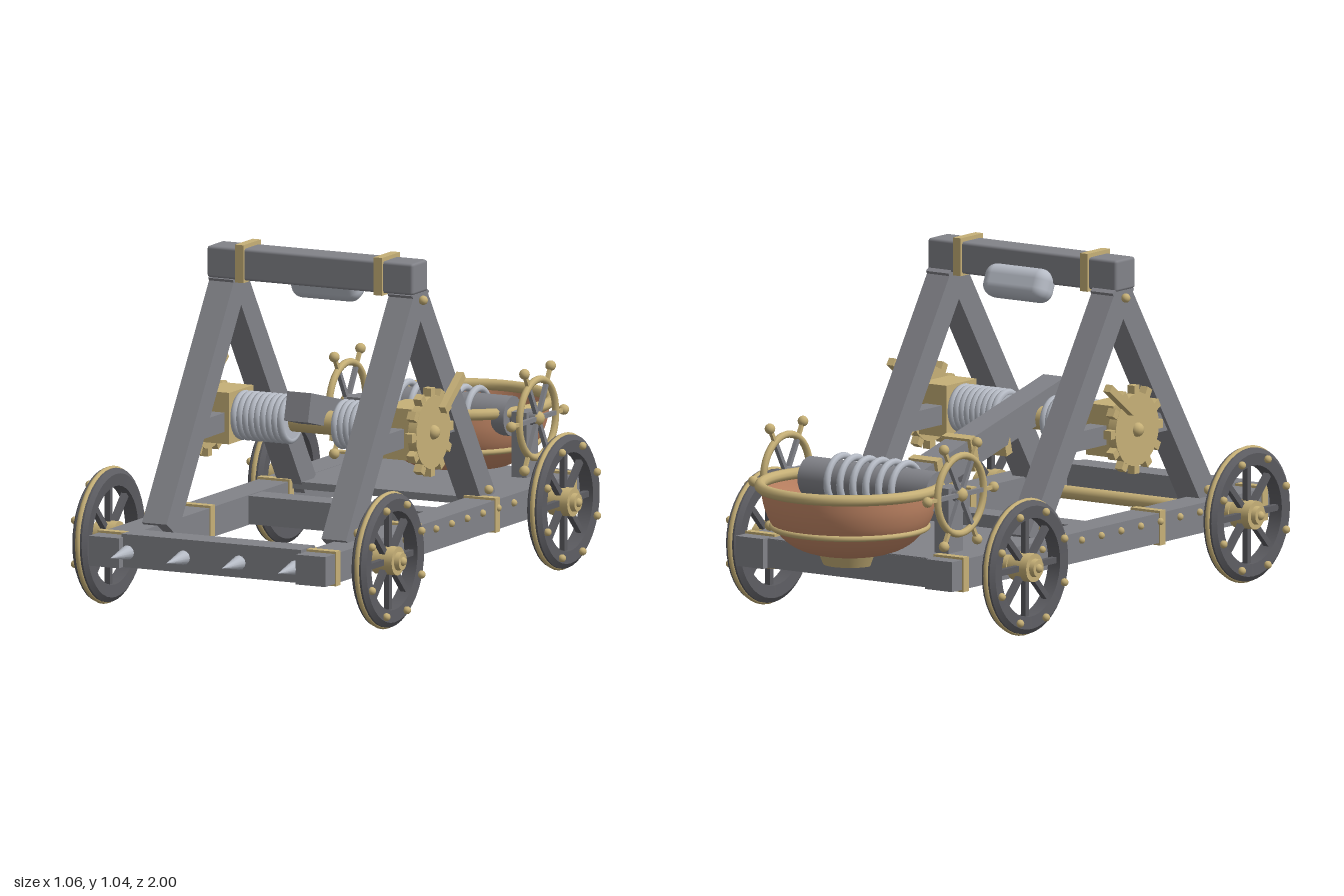
import * as THREE from 'three';
import { RoundedBoxGeometry } from 'three/addons/geometries/RoundedBoxGeometry.js';

const mat = (name, color, side = THREE.FrontSide) => {
  const m = new THREE.MeshStandardMaterial({ color, side });
  m.name = name;
  return m;
};

export function createModel() {
  const root = new THREE.Group();
  root.name = 'catapult';
  const grey = mat('grey timber', 0x828389), dark = mat('dark wheel', 0x5c5c61);
  const brass = mat('brass', 0xc6b077), steel = mat('pale steel', 0xb6bbc5);
  const copper = mat('copper', 0xc78a68, THREE.DoubleSide);

  // Helpers
  const add = (parent, name, geo, m, x = 0, y = 0, z = 0) => {
    const o = new THREE.Mesh(geo, m);
    o.name = name;
    o.position.set(x, y, z);
    parent.add(o);
    return o;
  };
  const box = (p, name, m, w, h, d, x, y, z) => add(p, name, new THREE.BoxGeometry(w, h, d), m, x, y, z);
  const ball = (p, name, m, r, x, y, z) => add(p, name, new THREE.SphereGeometry(r, 12, 8), m, x, y, z);
  const rod = (p, name, m, r, len, x, y, z) => {
    const o = add(p, name, new THREE.CylinderGeometry(r, r, len, 24), m, x, y, z);
    o.rotation.z = Math.PI / 2;
    return o;
  };
  const ring = (p, name, m, R, r, x, y, z) => {
    const o = add(p, name, new THREE.TorusGeometry(R, r, 8, 32), m, x, y, z);
    o.rotation.y = Math.PI / 2;
    return o;
  };
  // Square beam between two points of one x plane
  const beam = (p, name, m, w, h, x, y1, z1, y2, z2) => {
    const len = Math.hypot(y2 - y1, z2 - z1);
    const o = box(p, name, m, w, h, len, x, (y1 + y2) / 2, (z1 + z2) / 2);
    o.rotation.x = -Math.atan2(y2 - y1, z2 - z1);
    return o;
  };
  const sides = [-1, 1];

  // Chassis
  for (const s of sides) {
    box(root, 'sideRail', grey, 0.1, 0.09, 1.66, s * 0.345, 0.205, 0.085);
    for (const z of [0.84, 0.32, -0.185, -0.68])
      box(root, 'railBand', brass, 0.108, 0.104, 0.028, s * 0.345, 0.205, z);
    for (let i = 0; i < 9; i++) ball(root, 'railStud', brass, 0.011, s * 0.397, 0.225, 0.51 - i * 0.1);
  }
  box(root, 'frontBeam', grey, 0.6, 0.1, 0.09, 0, 0.21, 0.845);
  box(root, 'middleBeam', grey, 0.6, 0.085, 0.085, 0, 0.205, 0.04);
  box(root, 'rearBeam', grey, 0.6, 0.085, 0.085, 0, 0.203, -0.68);
  box(root, 'rearDeck', grey, 0.62, 0.022, 0.53, 0, 0.238, -0.457);
  for (const x of [-0.28, -0.093, 0.093, 0.28]) {
    const spike = add(root, 'ramSpike', new THREE.ConeGeometry(0.023, 0.115, 12), steel, x, 0.205, 0.942);
    spike.rotation.x = Math.PI / 2;
  }

  // Wheels, built facing +z and then turned outward
  const makeWheel = () => {
    const w = new THREE.Group();
    w.name = 'wheel';
    const rimPts = [[0.148, -0.022], [0.185, -0.025], [0.2, -0.014], [0.2, 0.014], [0.185, 0.025], [0.148, 0.022], [0.148, -0.022]];
    // One lathe per profile edge keeps the rim edges crisp
    for (let i = 0; i < 6; i++) {
      const pts = [rimPts[i], rimPts[i + 1]].map(([r, y]) => new THREE.Vector2(r, y));
      add(w, 'wheelRim', new THREE.LatheGeometry(pts, 40), dark).rotation.x = Math.PI / 2;
    }
    const hoop = new THREE.CylinderGeometry(0.205, 0.205, 0.018, 40);
    add(w, 'wheelHoop', new THREE.TorusGeometry(0.197, 0.009, 8, 40), brass);
    hoop.dispose();
    for (let i = 0; i < 8; i++) {
      const a = (i * Math.PI) / 4;
      const spoke = box(w, 'wheelSpoke', dark, 0.13, 0.018, 0.018, 0.09 * Math.cos(a), 0.09 * Math.sin(a), 0);
      spoke.rotation.z = a;
      const b = a + Math.PI / 8;
      ball(w, 'wheelStud', brass, 0.012, 0.172 * Math.cos(b), 0.172 * Math.sin(b), 0.03);
    }
    add(w, 'wheelHub', new THREE.CylinderGeometry(0.043, 0.043, 0.07, 24), brass).rotation.x = Math.PI / 2;
    add(w, 'hubCap', new THREE.CylinderGeometry(0.026, 0.03, 0.03, 20), brass, 0, 0, 0.035).rotation.x = Math.PI / 2;
    ball(w, 'hubKnob', brass, 0.014, 0, 0, 0.048);
    return w;
  };
  for (const z of [0.652, -0.475]) {
    rod(root, 'axle', brass, 0.02, 0.94, 0, 0.206, z);
    for (const s of sides) {
      const w = makeWheel();
      w.position.set(s * 0.467, 0.206, z);
      w.rotation.y = (s * Math.PI) / 2;
      root.add(w);
      rod(root, 'axleCollar', brass, 0.03, 0.025, s * 0.407, 0.206, z);
    }
  }

  // A-frames with top beam
  for (const s of sides) {
    beam(root, 'frontLeg', grey, 0.082, 0.082, s * 0.3, 0.235, 0.645, 0.95, 0.18);
    beam(root, 'rearLeg', grey, 0.082, 0.082, s * 0.3, 0.235, -0.245, 0.95, 0.22);
    beam(root, 'sideBrace', grey, 0.06, 0.058, s * 0.3, 0.503, 0.455, 0.503, -0.05);
    for (const [y, z] of [[0.908, 0.2], [0.272, 0.62], [0.272, -0.22]])
      ball(root, 'legBolt', brass, 0.014, s * 0.35, y, z);
    box(root, 'topBeamBand', brass, 0.028, 0.114, 0.114, s * 0.232, 0.98, 0.208);
  }
  add(root, 'topBeam', new RoundedBoxGeometry(0.69, 0.096, 0.1, 1, 0.009), grey, 0, 0.977, 0.208);
  const pad = add(root, 'stopPad', new RoundedBoxGeometry(0.23, 0.1, 0.085, 5, 0.036), steel, 0, 0.925, 0.145);
  pad.rotation.x = 0.4;

  // Twisted rope winch with gears
  const wy = 0.515, wz = 0.207;
  rod(root, 'winchAxle', brass, 0.036, 0.72, 0, wy, wz);
  for (const s of sides) {
    rod(root, 'ropeCore', steel, 0.062, 0.17, s * 0.165, wy, wz);
    for (let i = 0; i < 9; i++) ring(root, 'ropeCoil', steel, 0.063, 0.012, s * (0.09 + i * 0.0195), wy, wz);
    box(root, 'winchHousing', brass, 0.1, 0.155, 0.155, s * 0.305, wy, wz);
    rod(root, 'gear', brass, 0.11, 0.028, s * 0.373, wy, wz);
    for (let i = 0; i < 12; i++) {
      const a = (i * Math.PI) / 6;
      const t = box(root, 'gearTooth', brass, 0.026, 0.034, 0.026, s * 0.373, wy + 0.116 * Math.cos(a), wz + 0.116 * Math.sin(a));
      t.rotation.x = a;
    }
    ball(root, 'gearKnob', brass, 0.022, s * 0.386, wy, wz);
    beam(root, 'gearHandle', brass, 0.024, 0.024, s * 0.396, 0.575, 0.165, 0.663, 0.045);
  }

  // Throwing arm
  const slope = 0.25;
  const armY = z => 0.577 + (z - 0.325) * slope;
  beam(root, 'throwingArm', grey, 0.08, 0.088, 0, armY(0.335), 0.335, armY(-0.68), -0.68);
  for (const z of [-0.32, -0.15])
    box(root, 'armBand', brass, 0.104, 0.104, 0.028, 0, armY(z), z).rotation.x = -Math.atan(slope);
  box(root, 'armCatch', brass, 0.08, 0.05, 0.03, 0, 0.452, 0.035).rotation.x = -Math.atan(slope);
  box(root, 'armEndPad', grey, 0.125, 0.07, 0.07, 0, 0.315, -0.69);

  // Bowl
  const bowl = new THREE.Group();
  bowl.name = 'bowl';
  bowl.position.set(0, 0, -0.715);
  root.add(bowl);
  const profile = new THREE.SplineCurve([[0.001, 0.232], [0.1, 0.235], [0.175, 0.262], [0.228, 0.315], [0.255, 0.375], [0.266, 0.438]]
    .map(p => new THREE.Vector2(...p))).getPoints(24);
  add(bowl, 'bowlShell', new THREE.LatheGeometry(profile, 48), copper);
  for (const [R, r, y] of [[0.267, 0.017, 0.437], [0.231, 0.009, 0.316]])
    add(bowl, 'bowlHoop', new THREE.TorusGeometry(R, r, 10, 56), brass, 0, y).rotation.x = Math.PI / 2;
  add(bowl, 'bowlFoot', new THREE.CylinderGeometry(0.095, 0.08, 0.035, 32), brass, 0, 0.22);
  ball(bowl, 'bowlRivet', brass, 0.03, 0, 0.325, -0.015);

  // Roller with hand wheels
  const ry = 0.425, rz = -0.595;
  rod(root, 'roller', grey, 0.06, 0.47, 0, ry, rz);
  rod(root, 'rollerAxle', grey, 0.022, 0.64, 0, ry, rz);
  for (let i = 0; i < 6; i++) ring(root, 'rollerCoil', steel, 0.073, 0.011, (i - 2.5) * 0.047, ry, rz);
  for (const s of sides) {
    box(root, 'rollerPost', grey, 0.05, 0.2, 0.075, s * 0.275, 0.345, rz);
    const w = new THREE.Group();
    w.name = 'handWheel';
    w.position.set(s * 0.318, ry, rz);
    w.rotation.y = (s * Math.PI) / 2;
    root.add(w);
    add(w, 'handWheelRim', new THREE.TorusGeometry(0.117, 0.011, 8, 40), brass);
    ball(w, 'handWheelHub', brass, 0.022, 0, 0, 0);
    for (let i = 0; i < 6; i++) {
      const a = (i * Math.PI) / 3, c = Math.cos(a), n = Math.sin(a);
      box(w, 'handWheelSpoke', grey, 0.11, 0.013, 0.013, 0.06 * c, 0.06 * n, 0).rotation.z = a;
      box(w, 'handWheelGrip', brass, 0.05, 0.011, 0.011, 0.143 * c, 0.143 * n, 0).rotation.z = a;
      ball(w, 'handWheelKnob', brass, 0.016, 0.168 * c, 0.168 * n, 0);
    }
  }
  return root;
}
